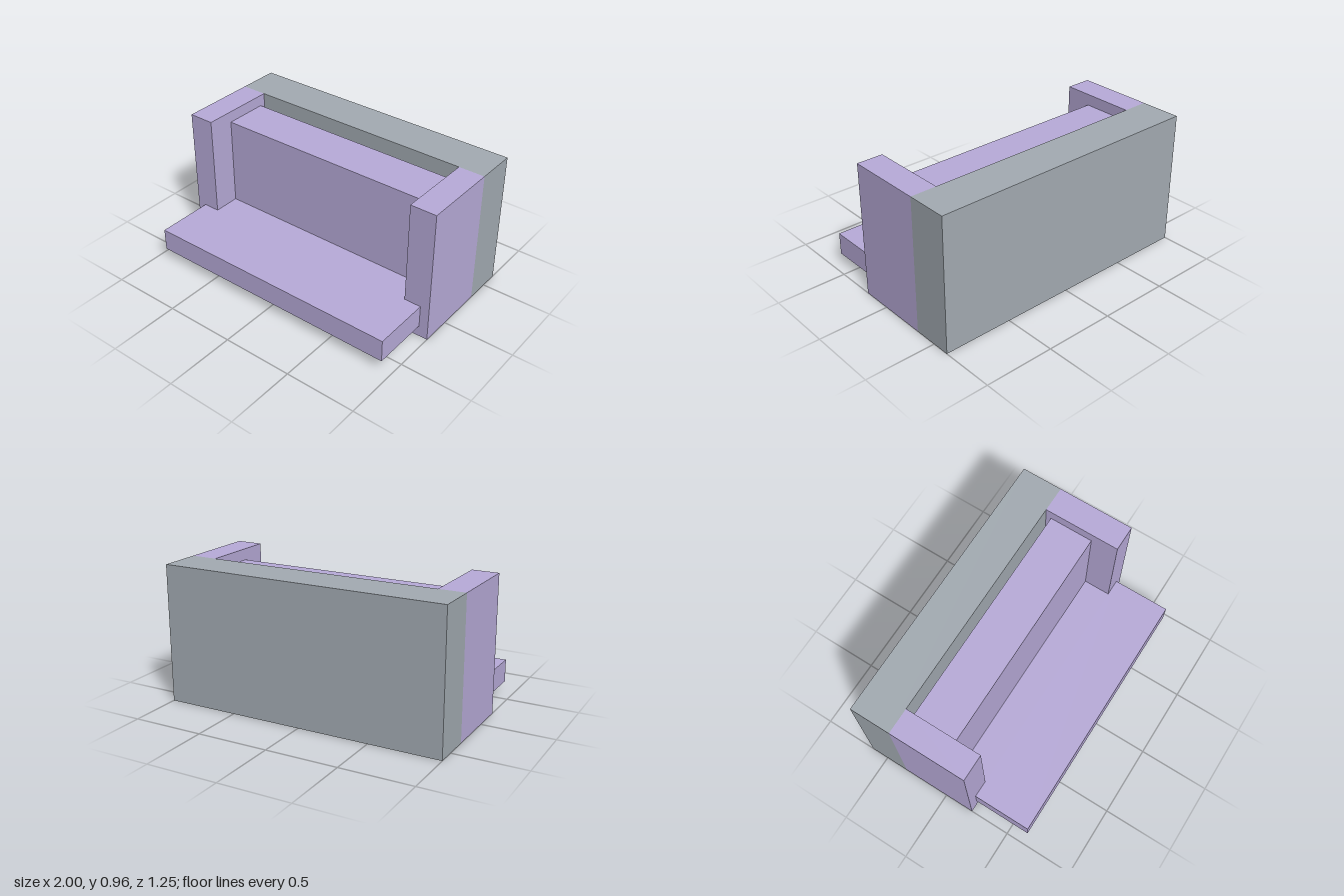
import * as THREE from 'three';

export function createModel() {
  const group = new THREE.Group();
  const purple = new THREE.MeshStandardMaterial({ color: 0xb8abd9 });
  const slate = new THREE.MeshStandardMaterial({ color: 0xa3abb2 });

  // Box given by its extents along each axis
  function box(name, material, [x0, x1], [y0, y1], [z0, z1]) {
    const mesh = new THREE.Mesh(new THREE.BoxGeometry(x1 - x0, y1 - y0, z1 - z0), material);
    mesh.position.set((x0 + x1) / 2, (y0 + y1) / 2, (z0 + z1) / 2);
    mesh.name = name;
    group.add(mesh);
  }

  const height = 0.96, armInner = 0.815, panelFront = -0.335, armFront = 0.212;

  // Full-width panel at the rear
  box('backPanel', slate, [-1, 1], [0, height], [-0.625, panelFront]);

  // Side arms, butted against the panel
  box('leftArm', purple, [armInner, 1], [0, height], [panelFront, armFront]);
  box('rightArm', purple, [-1, -armInner], [0, height], [panelFront, armFront]);

  // Backrest between the arms, with a narrow gap behind it
  box('backrest', purple, [-armInner, armInner], [0.08, 0.88], [-0.295, 0.02]);

  // Seat: part between the arms, and the wider front ledge
  box('seat', purple, [-armInner, armInner], [0.08, 0.24], [0.02, armFront]);
  box('seatLedge', purple, [-0.935, 0.935], [0.08, 0.24], [armFront, 0.625]);

  return group;
}
